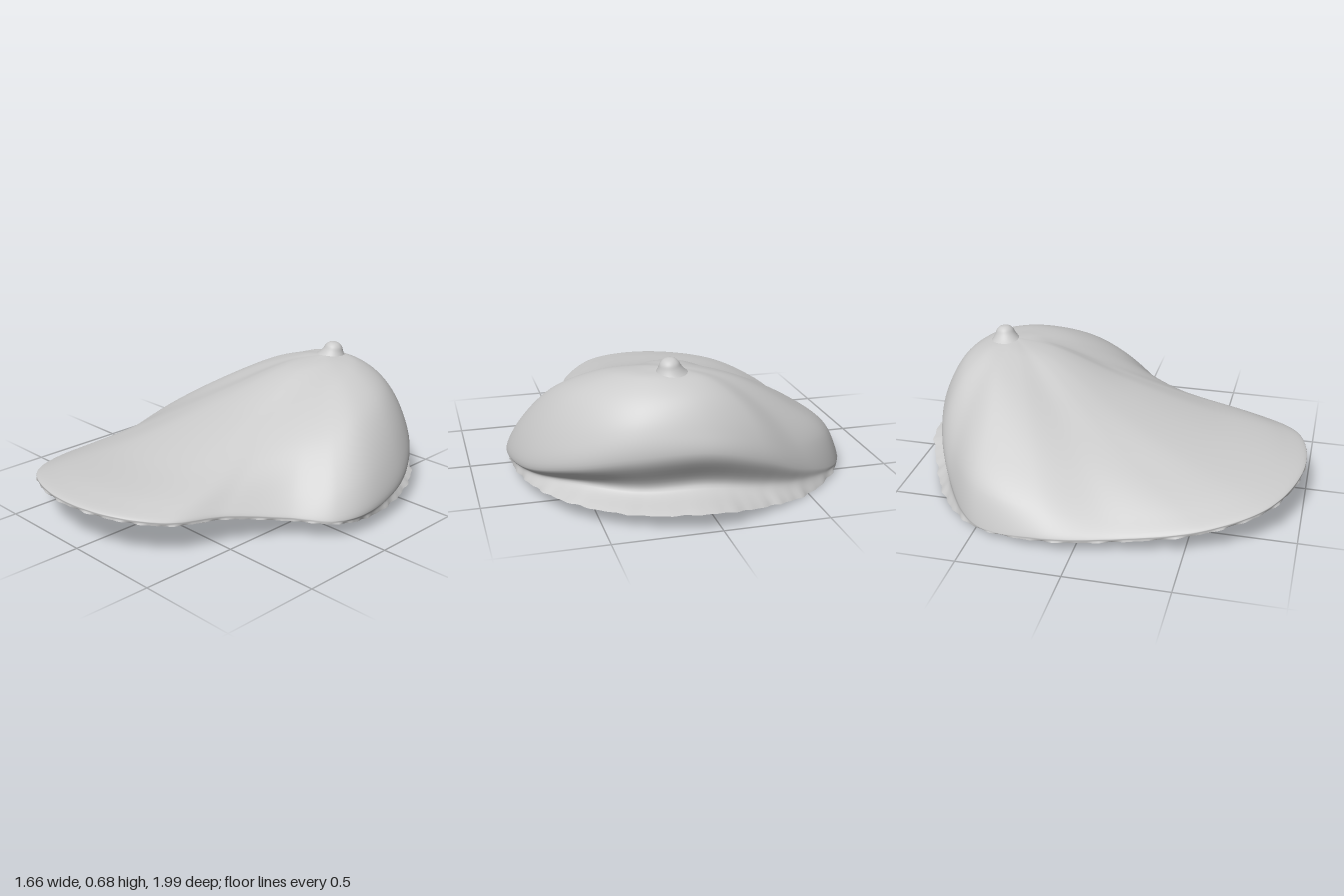
import * as THREE from 'three';

const V = (x, y, z) => new THREE.Vector3(x, y, z);
const APEX = V(0.13, 0.63, -0.55);
const NU = 240, NV = 56;

// Edge of the shell, counterclockwise from the front
const rim = [
  [-0.15, 0.20, 0.99], [0.18, 0.20, 0.94], [0.37, 0.17, 0.76], [0.47, 0.15, 0.50], [0.62, 0.11, 0.25], [0.78, 0.09, 0.08],
  [0.81, 0.07, -0.12], [0.76, 0.07, -0.42], [0.62, 0.08, -0.70], [0.36, 0.08, -0.90], [0.04, 0.09, -0.99], [-0.25, 0.04, -0.88],
  [-0.50, 0.01, -0.74], [-0.74, 0.03, -0.50], [-0.83, 0.06, -0.15], [-0.77, 0.07, 0.20], [-0.69, 0.12, 0.58], [-0.50, 0.17, 0.86],
].map((p) => V(...p));

// Where the dome overhangs the edge: widest point and depth of the fold below it
const overhang = {
  6: [0.825, 0.11, -0.10, 0.05], 7: [0.77, 0.15, -0.42, 0.3], 8: [0.605, 0.23, -0.68, 0.8], 9: [0.36, 0.30, -0.84, 1],
  10: [0.04, 0.32, -0.895, 1], 11: [-0.24, 0.24, -0.84, 0.65], 12: [-0.48, 0.13, -0.72, 0.2],
};

// Dome heights at three steps from the widest line to the apex
const steps = [0.08, 0.3, 0.6];
const heights = [
  [0.245, 0.29, 0.43], [0.245, 0.30, 0.44], [0.23, 0.31, 0.455], [0.22, 0.34, 0.49], [0.20, 0.385, 0.53], [0.22, 0.42, 0.56],
  [0.26, 0.46, 0.58], [0.31, 0.50, 0.60], [0.38, 0.53, 0.61], [0.44, 0.55, 0.615], [0.43, 0.55, 0.61], [0.37, 0.51, 0.60],
  [0.26, 0.43, 0.57], [0.22, 0.38, 0.54], [0.18, 0.34, 0.505], [0.15, 0.30, 0.47], [0.18, 0.275, 0.445], [0.22, 0.28, 0.43],
];

// Control rings from the edge up to the apex
function controlRings() {
  const rings = [[], [], [], [], [], [], []];
  rim.forEach((r, i) => {
    const o = overhang[i];
    const wide = o ? V(o[0], o[1], o[2]) : r.clone().add(V(0, 0.018, 0));
    const fold = r.clone().lerp(wide, 0.5);
    if (o) {
      const inner = wide.clone().lerp(V(0, 0, -0.3), 0.13);
      inner.y = r.y + 0.06;
      fold.lerp(inner, o[3]);
    }
    const dome = steps.map((f, k) => wide.clone().lerp(APEX, f).setY(heights[i][k]));
    const top = wide.clone().lerp(APEX, 0.85).setY(APEX.y - (APEX.y - heights[i][2]) * 0.21);
    [r, fold, wide, ...dome, top].forEach((p, k) => rings[k].push(p));
  });
  return rings.map((pts) => new THREE.CatmullRomCurve3(pts, true));
}

// Slightly ragged edge
function edgePoint(edge, u) {
  const k = 1 + 0.004 * Math.sin(u * Math.PI * 74) + 0.004 * Math.sin(u * Math.PI * 122 + 1);
  return edge.getPoint(u).multiply(V(k, 1, k));
}

function shellGeometry(rings) {
  const pos = [], index = [];
  for (let i = 0; i < NU; i++) {
    const pts = rings.map((c) => c.getPoint(i / NU));
    pts[0] = edgePoint(rings[0], i / NU);
    const meridian = new THREE.CatmullRomCurve3([...pts, APEX]);
    for (let j = 0; j < NV; j++) pos.push(...meridian.getPoint(j / NV).toArray());
  }
  const tip = NU * NV;
  pos.push(...APEX.toArray());
  for (let i = 0; i < NU; i++) {
    const a = i * NV, b = ((i + 1) % NU) * NV;
    for (let j = 0; j < NV - 1; j++) index.push(a + j, b + j, b + j + 1, a + j, b + j + 1, a + j + 1);
    index.push(a + NV - 1, b + NV - 1, tip);
  }
  return build(pos, index);
}

// Thin plate from a stretch of the edge to an inner line
function plateGeometry(outer, inner) {
  const pos = [], index = [];
  outer.forEach((p, i) => {
    pos.push(...p.toArray(), ...inner[i].toArray());
    if (i) index.push(2 * i - 2, 2 * i - 1, 2 * i, 2 * i, 2 * i - 1, 2 * i + 1);
  });
  return build(pos, index);
}

function edgeStretch(edge, from, to) {
  const first = Math.round(from * NU), last = Math.round(to * NU), pts = [];
  for (let i = first; i <= last; i++) pts.push(edgePoint(edge, ((i + NU) % NU) / NU));
  return pts;
}

function build(pos, index) {
  const g = new THREE.BufferGeometry();
  g.setAttribute('position', new THREE.Float32BufferAttribute(pos, 3));
  g.setIndex(index);
  g.computeVertexNormals();
  return g;
}

export function createModel() {
  const group = new THREE.Group();
  const material = new THREE.MeshStandardMaterial({ color: 0xcccccc, side: THREE.DoubleSide });
  const add = (name, geometry) => {
    const mesh = new THREE.Mesh(geometry, material);
    mesh.name = name;
    group.add(mesh);
    return mesh;
  };
  const rings = controlRings();
  add('shell', shellGeometry(rings));

  // Underside of the front, back to a straight line
  const front = edgeStretch(rings[0], -0.17, 0.17).filter((p) => p.z >= 0.6);
  const straight = front.map((p) => V(p.x, Math.min(p.y, 0.12 + 0.08 * Math.max(0, p.x)), 0.6));
  add('frontUnderside', plateGeometry(front, straight));

  // Underside of the rear, in to a wavy line
  const rear = edgeStretch(rings[0], 4 / 18, 12 / 18);
  const wavy = new THREE.CatmullRomCurve3([
    rear[0], V(0.48, 0.075, 0.02), V(0.33, 0.047, -0.2), V(0.1, 0.04, -0.27), V(-0.1, 0.035, -0.33),
    V(-0.34, 0.01, -0.62), rear[rear.length - 1],
  ]);
  add('rearUnderside', plateGeometry(rear, wavy.getPoints(rear.length - 1)));

  // Small rounded knob on top of the dome
  const profile = [[0.1, -0.02], [0.07, 0.01], [0.053, 0.035], [0.042, 0.058], [0.024, 0.073], [0, 0.077]];
  const curve = new THREE.SplineCurve(profile.map((p) => new THREE.Vector2(...p)));
  const knob = add('knob', new THREE.LatheGeometry(curve.getPoints(20), 32));
  knob.position.set(0.135, 0.612, -0.605);
  knob.rotation.set(-0.1, 0, -0.12);
  return group;
}
